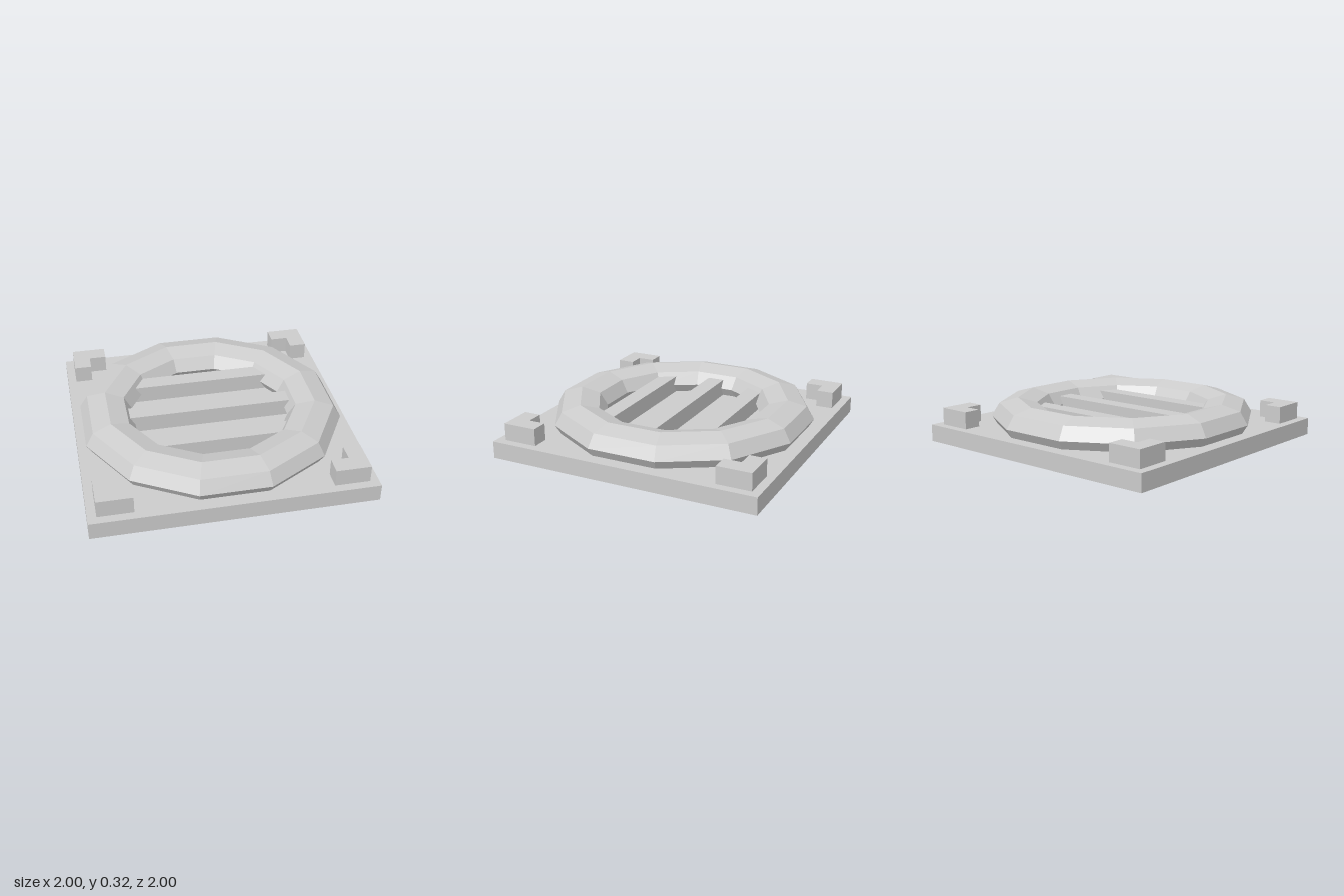
import * as THREE from 'three';

const BASE_H = 0.125;

export function createModel() {
  const model = new THREE.Group();
  const material = new THREE.MeshStandardMaterial({ color: 0xcccccc, flatShading: true });

  function add(name, geometry, x = 0, y = 0, z = 0) {
    const mesh = new THREE.Mesh(geometry, material);
    mesh.name = name;
    mesh.position.set(x, y, z);
    model.add(mesh);
    return mesh;
  }

  // Square slab
  add('basePlate', new THREE.BoxGeometry(2, BASE_H, 2), 0, BASE_H / 2, 0);

  // Twelve-sided ring with a flattened octagonal section, half sunk into the slab
  const flat = Math.cos(Math.PI / 12);
  const ring = new THREE.TorusGeometry(0.75 / flat, 0.1885 / flat, 8, 12);
  ring.rotateX(-Math.PI / 2);
  ring.rotateY(Math.PI / 12);
  ring.scale(1, 0.132 * flat / 0.1885, 1);
  add('ring', ring, 0, 0.1885, 0);

  // Grate bars whose ends are buried in the ring
  for (const z of [-0.375, 0, 0.375]) {
    add('grateBar', new THREE.BoxGeometry(1.3, 0.125, 0.125), 0, BASE_H + 0.0625, z);
  }

  // L-shaped corner brackets, one per corner
  const outer = 0.9375, mid = 0.8125, inner = 0.6875;
  const corner = new THREE.Shape([
    [outer, outer], [inner, outer], [inner, mid],
    [mid, mid], [mid, inner], [outer, inner],
  ].map(([x, y]) => new THREE.Vector2(x, y)));
  const bracket = new THREE.ExtrudeGeometry(corner, { depth: 0.125, bevelEnabled: false });
  bracket.rotateX(-Math.PI / 2);
  for (let i = 0; i < 4; i++) {
    add('cornerBracket', bracket, 0, BASE_H, 0).rotation.y = i * Math.PI / 2;
  }

  return model;
}
